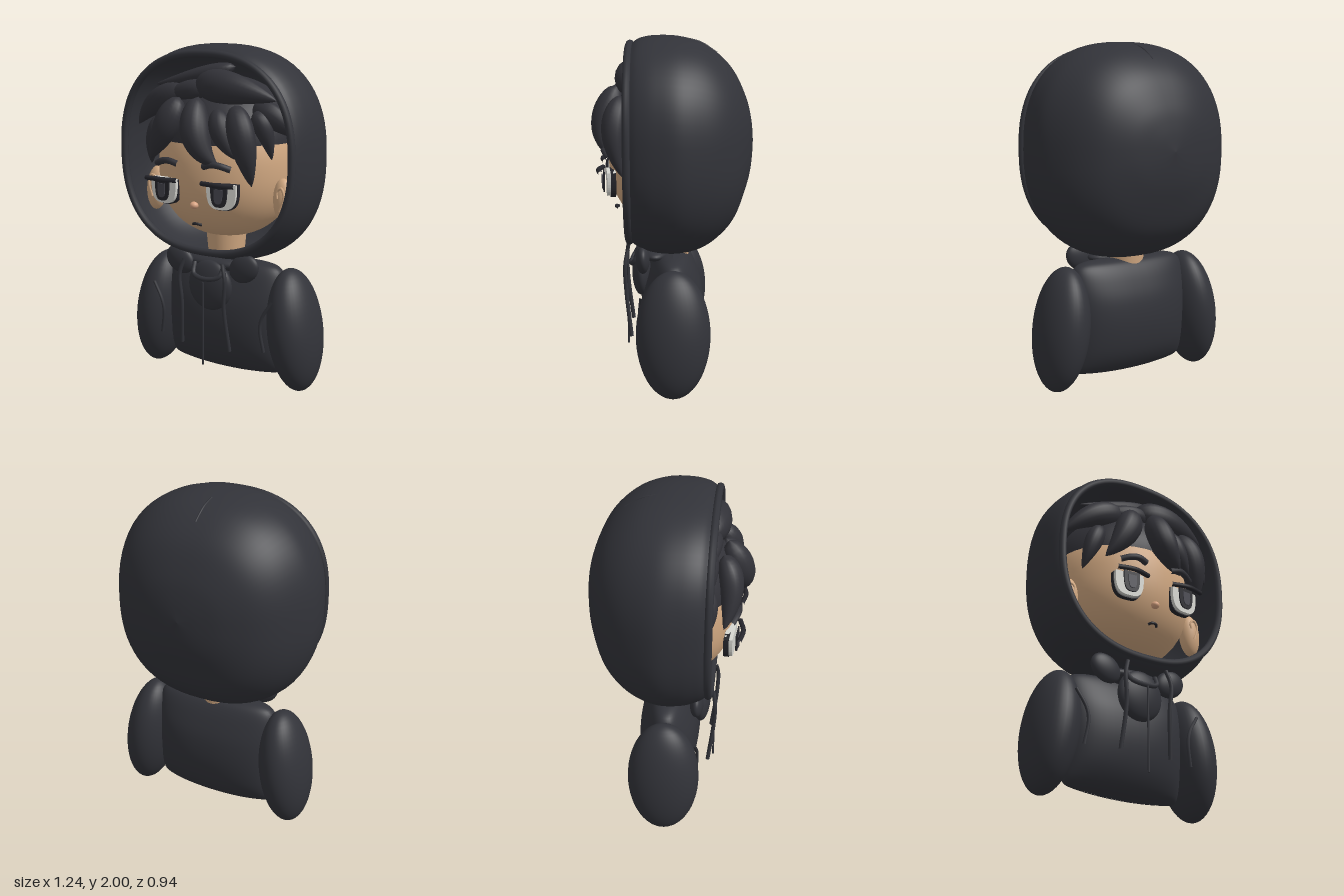
import * as THREE from 'three';

const mat = (name, color, side = THREE.FrontSide) => {
  const m = new THREE.MeshStandardMaterial({ color, side });
  m.name = name;
  return m;
};
const V = (p) => new THREE.Vector3(...p);

// Closed-ring loft: f(u, angle) gives a point, u runs along the rings
function loft(f, rows, cols) {
  const pos = [], idx = [];
  for (let i = 0; i <= rows; i++)
    for (let j = 0; j < cols; j++) pos.push(...f(i / rows, (j / cols) * Math.PI * 2));
  for (let i = 0; i < rows; i++)
    for (let j = 0; j < cols; j++) {
      const k = (j + 1) % cols, a = i * cols + j, b = i * cols + k, c = a + cols, d = b + cols;
      idx.push(a, b, c, b, d, c);
    }
  const g = new THREE.BufferGeometry();
  g.setAttribute('position', new THREE.Float32BufferAttribute(pos, 3));
  g.setIndex(idx);
  g.computeVertexNormals();
  return g;
}

// Point on a unit superellipse
const squircle = (a, n) => [Math.cos(a), Math.sin(a)].map((c) => Math.sign(c) * Math.abs(c) ** (2 / n));

// Smooth interpolation through rows of numbers
function rowSampler(rows) {
  const curves = rows[0].map((_, k) => new THREE.CatmullRomCurve3(
    rows.map((r) => new THREE.Vector3(r[k], 0, 0)), false, 'catmullrom', 0.5));
  return (u) => curves.map((c) => c.getPoint(u).x);
}

function tube(points, r, closed = false) {
  const curve = new THREE.CatmullRomCurve3(points.map(V), closed);
  return new THREE.TubeGeometry(curve, closed ? 120 : 20, r, 8, closed);
}

// Hair lock: bulbous at the root, pointed at the tip, flattened in depth
function lock(p0, p1, p2, width, depth) {
  const curve = new THREE.QuadraticBezierCurve3(V(p0), V(p1), V(p2));
  return loft((u, a) => {
    const t = curve.getTangent(u);
    const b = new THREE.Vector3(0, 0, 1).addScaledVector(t, -t.z).normalize();
    const n = new THREE.Vector3().crossVectors(b, t);
    const s = Math.max(0.005, Math.max(0, Math.sin(Math.PI * u ** 0.7)) ** 0.75);
    return curve.getPoint(u)
      .addScaledVector(n, Math.cos(a) * width * s)
      .addScaledVector(b, Math.sin(a) * depth * s).toArray();
  }, 20, 16);
}

export function createModel() {
  const root = new THREE.Group();
  root.name = 'hoodedBust';
  const cloth = mat('charcoal cloth', 0x323339);
  const hoodCloth = mat('charcoal hood', 0x323339, THREE.DoubleSide);
  const hairMat = mat('dark hair', 0x323238);
  const skin = mat('skin', 0xd1a881);
  const noseMat = mat('nose pink', 0xd9a482);
  const white = mat('eye white', 0xd6d6d0);
  const iris = mat('iris grey', 0x46464e);
  const black = mat('eye black', 0x26262c);

  const add = (name, geo, m, pos = [0, 0, 0], rotZ = 0) => {
    const mesh = new THREE.Mesh(geo, m);
    mesh.name = name;
    mesh.position.set(...pos);
    mesh.rotation.z = rotZ;
    root.add(mesh);
    return mesh;
  };
  const blob = (name, m, pos, r, rotZ = 0) =>
    add(name, new THREE.SphereGeometry(1, 40, 28).scale(...r), m, pos, rotZ);

  // Hood shell, rows from back to front: z, half width, bottom, top
  const hoodRow = rowSampler([
    [-0.465, 0.0005, 1.399, 1.4], [-0.45, 0.135, 1.25, 1.53], [-0.42, 0.265, 1.13, 1.65],
    [-0.355, 0.4, 0.96, 1.79], [-0.27, 0.495, 0.855, 1.888], [-0.16, 0.565, 0.78, 1.96],
    [-0.03, 0.612, 0.75, 1.995], [0.1, 0.607, 0.755, 2.0], [0.19, 0.585, 0.785, 1.985], [0.24, 0.558, 0.815, 1.955],
  ]);
  add('hood', loft((u, a) => {
    const [z, w, lo, hi] = hoodRow(u), [c, s] = squircle(a, 2.4);
    return [c * w, (lo + hi) / 2 + (s * (hi - lo)) / 2, z];
  }, 48, 72), hoodCloth);
  const rim = [];
  for (let i = 0; i < 48; i++) {
    const [c, s] = squircle((i / 48) * Math.PI * 2, 2.4);
    rim.push([c * 0.56, 1.387 + s * 0.565, 0.25]);
  }
  add('hoodRim', tube(rim, 0.022, true), cloth);
  add('hoodSeam', tube([[0, 1.985, -0.07], [0, 1.96, -0.16], [0, 1.902, -0.25]], 0.006), cloth);

  // Pillow-like torso, rows: y, half width, half depth
  const torsoRow = rowSampler([
    [0.052, 0.3, 0.0005], [0.06, 0.36, 0.03], [0.1, 0.38, 0.09], [0.2, 0.385, 0.15], [0.35, 0.39, 0.18],
    [0.5, 0.395, 0.175], [0.62, 0.39, 0.14], [0.7, 0.365, 0.1], [0.735, 0.3, 0.06], [0.745, 0.2, 0.0005],
  ]);
  add('torso', loft((u, a) => {
    const [y, w, d] = torsoRow(u), [c, s] = squircle(a, 2.4);
    return [s * w, y + 0.03 * (1 - u) * (s * w / 0.38) ** 2, c * d];
  }, 40, 56), cloth);

  // Collar and front details
  blob('collarFront', cloth, [0, 0.61, 0.19], [0.145, 0.15, 0.055]);
  blob('collarBase', cloth, [0, 0.735, 0.11], [0.2, 0.045, 0.09]);
  add('neckline', tube([[-0.1, 0.74, 0.2], [-0.085, 0.68, 0.235], [0, 0.66, 0.25], [0.085, 0.68, 0.235], [0.1, 0.74, 0.2]], 0.014), cloth);
  add('zip', new THREE.CylinderGeometry(0.006, 0.006, 0.5, 8), cloth, [0, 0.395, 0.27]);

  // Head, slightly squared off at the jaw
  add('neck', new THREE.CylinderGeometry(0.13, 0.1, 0.32, 32), skin, [0, 0.86, 0.01]);
  add('head', loft((u, a) => {
    const [r, h] = squircle((u - 0.5) * Math.PI, 2.25);
    return [Math.sin(a) * r * 0.412, 1.3 + h * 0.415, Math.cos(a) * r * 0.375];
  }, 40, 48), skin);
  add('hairCap', new THREE.SphereGeometry(1, 40, 20, 0, Math.PI * 2, 0, Math.PI / 2)
    .scale(0.42, 0.36, 0.365), hairMat, [0, 1.46, 0]);
  blob('nose', noseMat, [0, 1.115, 0.352], [0.025, 0.021, 0.025]);
  add('mouth', tube([[-0.028, 0.998, 0.32], [-0.014, 1.005, 0.335], [0.014, 1.005, 0.335], [0.028, 0.998, 0.32]], 0.008), black);

  // Hair locks: root, bend, tip, width, depth
  [
    [[-0.13, 1.71, 0.3], [-0.17, 1.54, 0.39], [-0.32, 1.35, 0.32], 0.08, 0.07],
    [[-0.29, 1.6, 0.22], [-0.36, 1.48, 0.26], [-0.4, 1.3, 0.2], 0.055, 0.05],
    [[-0.12, 1.73, 0.22], [-0.34, 1.72, 0.25], [-0.52, 1.52, 0.16], 0.075, 0.055],
    [[0.01, 1.72, 0.32], [0, 1.46, 0.44], [0.17, 1.35, 0.37], 0.085, 0.085],
    [[0.13, 1.66, 0.3], [0.15, 1.52, 0.36], [0.27, 1.39, 0.33], 0.065, 0.06],
    [[0.22, 1.68, 0.28], [0.33, 1.5, 0.38], [0.33, 1.24, 0.28], 0.08, 0.07],
    [[0.31, 1.64, 0.22], [0.39, 1.58, 0.24], [0.4, 1.38, 0.18], 0.055, 0.05],
    [[0.28, 1.66, 0.18], [0.42, 1.64, 0.2], [0.54, 1.5, 0.14], 0.07, 0.055],
    [[0.14, 1.88, 0.14], [-0.05, 1.82, 0.2], [-0.4, 1.76, 0.15], 0.05, 0.06],
    [[-0.06, 1.77, 0.22], [0.15, 1.8, 0.28], [0.45, 1.71, 0.22], 0.095, 0.08],
    [[0.06, 1.74, 0.22], [-0.1, 1.77, 0.25], [-0.32, 1.69, 0.2], 0.06, 0.06],
  ].forEach((l) => add('hairLock', lock(...l), hairMat));

  // U-shaped eye plate, flat on top
  const plate = (w, top, bottom, depth) => {
    const s = new THREE.Shape();
    s.moveTo(-w, top);
    s.bezierCurveTo(-w * 1.1, bottom * 1.05, -w * 0.5, bottom, 0, bottom);
    s.bezierCurveTo(w * 0.5, bottom, w * 1.1, bottom * 1.05, w, top);
    return new THREE.ExtrudeGeometry(s, { depth, bevelEnabled: false, curveSegments: 16 });
  };

  // Paired parts
  for (const s of [-1, 1]) {
    const m = (pts) => pts.map(([x, y, z]) => [s * x, y, z]);
    blob('sleeve', cloth, [s * 0.465, 0.365, 0], [0.147, 0.365, 0.21], s * 0.13);
    add('sleeveFold', tube(m([[0.41, 0.57, 0.18], [0.35, 0.47, 0.19], [0.335, 0.4, 0.19], [0.355, 0.26, 0.18]]), 0.01), cloth);
    blob('collarSide', cloth, [s * 0.22, 0.735, 0.175], [0.1, 0.08, 0.04], s * 0.5);
    add('drawstring', tube(m([[0.13, 0.77, 0.265], [0.155, 0.68, 0.28], [0.145, 0.52, 0.275], [0.165, 0.25, 0.245]]), 0.012), cloth);

    // Ears with a raised curl
    blob('ear', skin, [s * 0.437, 1.135, 0.1], [0.065, 0.135, 0.055], s * 0.08);
    add('earCurl', tube(m([[0.42, 1.16, 0.15], [0.415, 1.2, 0.145], [0.44, 1.22, 0.145], [0.46, 1.18, 0.15], [0.435, 1.09, 0.153]]), 0.008), skin);

    // Eyes, lids and brows
    const yaw = s * 0.1;
    add('eyeOutline', plate(0.093, 0.065, -0.084, 0.03), black, [s * 0.187, 1.19, 0.328]).rotation.y = yaw;
    add('eyeWhite', plate(0.089, 0.065, -0.077, 0.05), white, [s * 0.187, 1.19, 0.328]).rotation.y = yaw;
    add('iris', plate(0.05, 0.065, -0.06, 0.008), black, [s * 0.189, 1.19, 0.39]).rotation.y = yaw;
    add('pupil', plate(0.026, 0.04, -0.04, 0.006), iris, [s * 0.189, 1.19, 0.4]).rotation.y = yaw;
    add('eyelid', tube(m([[0.082, 1.255, 0.405], [0.187, 1.257, 0.425], [0.292, 1.255, 0.405]]), 0.014), black);
    add('eyebrow', tube(m([[0.085, 1.347, 0.39], [0.14, 1.362, 0.395], [0.19, 1.357, 0.385], [0.245, 1.337, 0.36]]), 0.019), hairMat);
  }
  return root;
}
